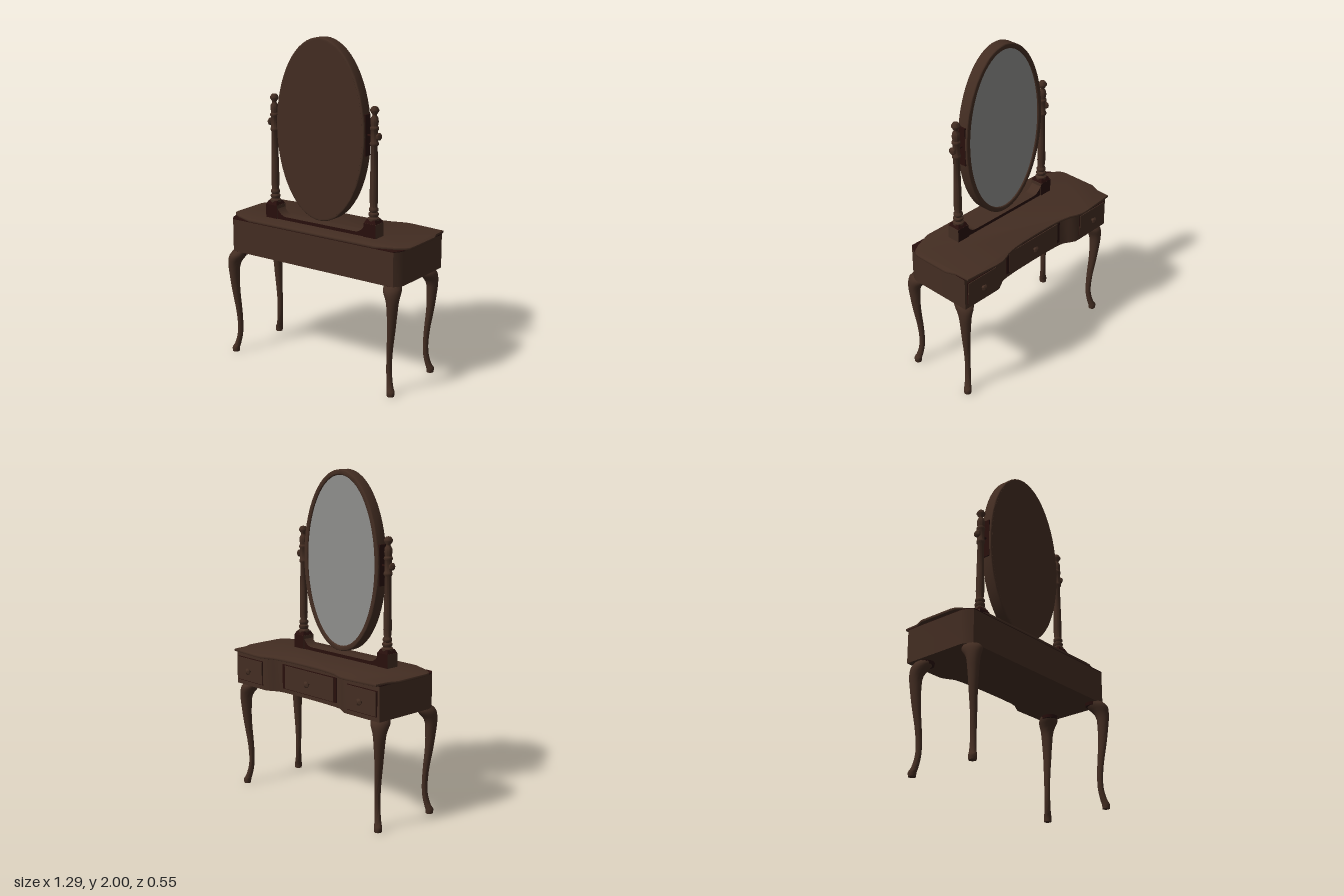
import * as THREE from 'three';
import { toCreasedNormals } from 'three/addons/utils/BufferGeometryUtils.js';

const std = (name, color) => {
  const m = new THREE.MeshStandardMaterial({ color });
  m.name = name;
  return m;
};

export function createModel() {
  const wood = std('walnut', 0x432d22);
  const darkWood = std('darkWalnut', 0x280f0c);
  const silver = std('mirrorSilver', 0x8e8e8c);
  const root = new THREE.Group();
  root.name = 'dressingTable';

  const add = (name, geo, mat, x = 0, y = 0, z = 0, parent = root) => {
    const mesh = new THREE.Mesh(geo, mat);
    mesh.name = name;
    mesh.position.set(x, y, z);
    parent.add(mesh);
    return mesh;
  };
  const box = (w, h, d) => new THREE.BoxGeometry(w, h, d);
  const lathe = (pts, n = 20) =>
    toCreasedNormals(new THREE.LatheGeometry(pts.map(p => new THREE.Vector2(p[0], p[1])), n), 0.7);

  // Half a plan outline as [x, z], mirrored and extruded downwards from y = 0
  const planSlab = (half, depth, bevel = 0) => {
    const pts = [...half, ...half.filter(p => p[0] > 0).reverse().map(p => [-p[0], p[1]])];
    const shape = new THREE.Shape(pts.map(p => new THREE.Vector2(p[0], p[1])));
    const geo = new THREE.ExtrudeGeometry(shape, {
      depth: depth - 2 * bevel, bevelEnabled: bevel > 0, bevelThickness: bevel,
      bevelSize: bevel, bevelOffset: -bevel, bevelSegments: 2,
    });
    geo.rotateX(Math.PI / 2).translate(0, -bevel, 0);
    return toCreasedNormals(geo, 0.6);
  };

  // Table top with a serpentine drawer side
  add('tableTop', planSlab([
    [0.46, 0.236], [0.57, 0.195], [0.62, 0.167], [0.64, 0.14], [0.645, 0.11], [0.645, -0.11],
    [0.62, -0.17], [0.615, -0.26], [0.4, -0.278], [0.35, -0.277], [0.31, -0.265], [0.27, -0.248],
    [0.2, -0.235], [0.12, -0.229], [0, -0.228],
  ], 0.016, 0.005), wood, 0, 0.88, 0);

  // Drawer case, with a dark upper edge showing past the corners of the top
  const casePlan = [
    [0.585, 0.233], [0.606, 0.205], [0.618, 0.17], [0.618, -0.236],
    [0.37, -0.238], [0.34, -0.236], [0.3, -0.215], [0.27, -0.197],
    [0.22, -0.189], [0.12, -0.185], [0, -0.184],
  ];
  add('case', planSlab(casePlan, 0.204), wood, 0, 0.862, 0);
  add('caseUpperEdge', planSlab(casePlan, 0.005), darkWood, 0, 0.867, 0);

  // Drawer fronts on the -z side, each with a shadow gap and a knob
  const knob = lathe([[0, 0], [0.009, 0], [0.008, 0.01], [0.019, 0.016], [0.02, 0.022],
    [0.013, 0.028], [0, 0.03]], 16);
  knob.rotateX(-Math.PI / 2);
  for (const [name, x, w, gap, z] of [['left', 0.485, 0.225, 0.008, -0.238],
    ['centre', 0, 0.42, 0.05, -0.193], ['right', -0.485, 0.225, 0.008, -0.238]]) {
    add(name + 'DrawerGap', box(w + gap, 0.15, 0.006), darkWood, x, 0.76, z);
    add(name + 'DrawerFront', box(w, 0.141, 0.009), wood, x, 0.76, z - 0.003);
    add(name + 'Knob', knob, wood, x, 0.755, z - 0.006);
  }

  // Cabriole legs: a cylinder whose rows follow a curved path and changing radii
  const legPath = [ // x, y, z, radius in x, radius in z
    [0.557, 0.66, 0.195, 0.046, 0.054], [0.567, 0.635, 0.208, 0.05, 0.064],
    [0.582, 0.58, 0.23, 0.037, 0.043], [0.582, 0.5, 0.232, 0.029, 0.034],
    [0.576, 0.4, 0.228, 0.023, 0.027], [0.56, 0.25, 0.219, 0.017, 0.02],
    [0.558, 0.13, 0.217, 0.016, 0.018], [0.572, 0.05, 0.228, 0.019, 0.021],
    [0.581, 0.025, 0.235, 0.023, 0.024], [0.581, 0, 0.235, 0.021, 0.022],
  ];
  const centres = new THREE.CatmullRomCurve3(legPath.map(p => new THREE.Vector3(p[0], p[1], p[2])));
  const radii = new THREE.CatmullRomCurve3(legPath.map(p => new THREE.Vector3(p[3], p[1], p[4])));
  const legGeometry = (sx, front) => {
    const geo = new THREE.CylinderGeometry(1, 1, 1, 16, 27);
    const pos = geo.attributes.position;
    for (let i = 0; i < pos.count; i++) {
      const t = THREE.MathUtils.clamp(0.5 - pos.getY(i), 0, 1);
      const c = centres.getPoint(t), r = radii.getPoint(t);
      const cz = front ? c.z : 0.035 - c.z;
      pos.setXYZ(i, sx * c.x + pos.getX(i) * r.x, Math.max(0, c.y), cz + pos.getZ(i) * r.z);
    }
    return toCreasedNormals(geo, 0.8);
  };
  const collar = new THREE.CylinderGeometry(0.05, 0.046, 0.022, 16);
  for (const sx of [1, -1]) {
    for (const front of [true, false]) {
      const label = (front ? 'front' : 'back') + (sx > 0 ? 'Left' : 'Right');
      add(label + 'Leg', legGeometry(sx, front), wood);
      add(label + 'LegCollar', collar, darkWood, sx * 0.553, 0.65, front ? 0.186 : -0.151);
    }
  }

  // Mirror stand, a touch off centre
  const stand = new THREE.Group();
  stand.name = 'mirrorStand';
  stand.position.set(-0.01, 0, 0.082);
  root.add(stand);

  // Base rail sweeping up to the posts
  const rail = new THREE.Shape();
  rail.moveTo(-0.33, 0.878);
  rail.lineTo(0.33, 0.878);
  rail.lineTo(0.33, 0.965);
  rail.quadraticCurveTo(0.3, 0.9, 0.25, 0.9);
  rail.lineTo(-0.25, 0.9);
  rail.quadraticCurveTo(-0.3, 0.9, -0.33, 0.965);
  const railGeo = new THREE.ExtrudeGeometry(rail, { depth: 0.07, bevelEnabled: false, curveSegments: 10 });
  add('baseRail', railGeo, [darkWood, wood], 0, 0, -0.035, stand);

  // Turned posts with finials and pivots
  const post = lathe([
    [0.034, 0.96], [0.034, 0.99], [0.024, 0.998], [0.03, 1.008], [0.03, 1.018], [0.022, 1.026],
    [0.028, 1.036], [0.028, 1.046], [0.021, 1.056], [0.025, 1.1], [0.022, 1.25], [0.019, 1.41],
    [0.026, 1.42], [0.026, 1.43], [0.021, 1.438], [0.021, 1.5], [0.026, 1.508], [0.026, 1.518],
    [0.02, 1.526], [0.024, 1.55], [0.022, 1.572], [0.013, 1.586], [0.013, 1.592],
    [0.026, 1.612], [0.026, 1.62], [0.016, 1.636], [0, 1.64],
  ]);
  const pivotKnob = lathe([[0, -0.012], [0.014, -0.012], [0.022, -0.003], [0.022, 0.005],
    [0.012, 0.014], [0, 0.016]], 16);
  pivotKnob.rotateZ(-Math.PI / 2);
  const rod = new THREE.CylinderGeometry(0.007, 0.007, 0.1, 10).rotateZ(Math.PI / 2);
  const blockCap = toCreasedNormals(
    new THREE.CylinderGeometry(0.042, 0.058, 0.024, 4).rotateY(Math.PI / 4), 0.5);
  for (const sx of [1, -1]) {
    const side = sx > 0 ? 'left' : 'right';
    const x = sx * 0.36;
    add(side + 'PostBlock', box(0.085, 0.085, 0.082),
      [wood, wood, wood, wood, darkWood, darkWood], x, 0.92, 0, stand);
    add(side + 'PostBlockCap', blockCap, darkWood, x, 0.973, 0, stand);
    add(side + 'Post', post, wood, x, 0, 0, stand);
    add(side + 'PivotRod', rod, darkWood, sx * 0.35, 1.468, 0, stand);
    add(side + 'PivotPlate', box(0.016, 0.24, 0.05), darkWood, sx * 0.308, 1.468, 0, stand);
    const k = add(side + 'PivotKnob', pivotKnob, wood, sx * 0.39, 1.468, 0, stand);
    if (sx < 0) k.rotation.y = Math.PI;
  }

  // Oval mirror: frame ring, plain backing and the glass facing -z
  const oval = (rx, ry) => new THREE.Shape().absellipse(0, 0, rx, ry, 0, Math.PI * 2);
  const ring = oval(0.315, 0.54);
  ring.holes.push(oval(0.283, 0.508));
  const frameGeo = new THREE.ExtrudeGeometry(ring, {
    depth: 0.061, bevelThickness: 0.007, bevelSize: 0.007, bevelOffset: -0.007,
    bevelSegments: 3, curveSegments: 32,
  });
  add('mirrorFrame', toCreasedNormals(frameGeo, 0.6), wood, 0, 1.46, -0.0305, stand);
  const panel = (rx, ry, depth) => toCreasedNormals(new THREE.ExtrudeGeometry(oval(rx, ry),
    { depth, bevelEnabled: false, curveSegments: 32 }), 0.6);
  add('mirrorBacking', panel(0.302, 0.527, 0.04), wood, 0, 1.46, -0.002, stand);
  add('mirrorGlass', panel(0.29, 0.515, 0.008), silver, 0, 1.46, -0.03, stand);

  return root;
}
